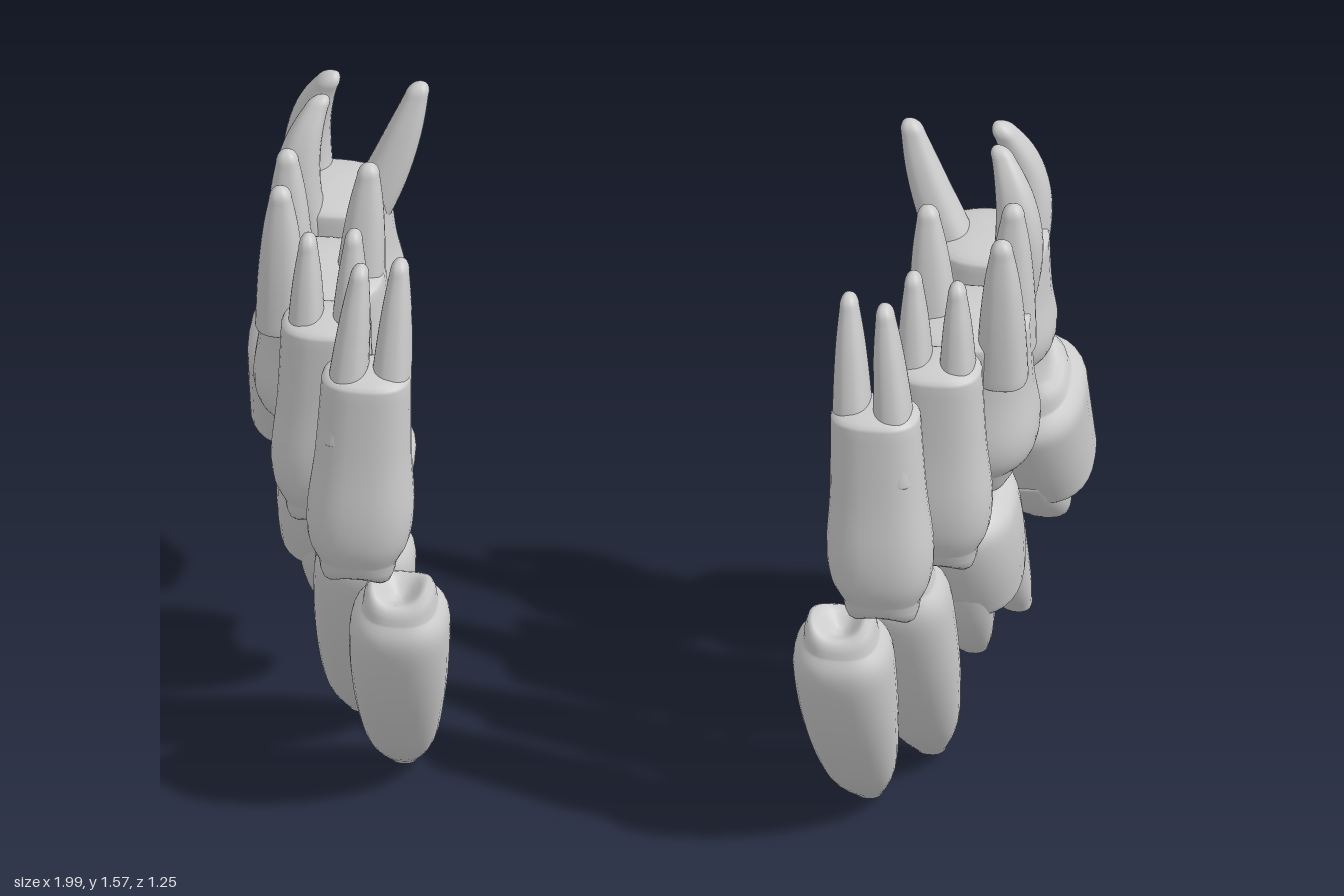
import * as THREE from 'three';

const enamel = new THREE.MeshStandardMaterial({ color: 0xcccccc });
enamel.name = 'light grey';

const SIDES = 32;
// width factors along each kind of part: [position, scale]
const UPPER = [[0, 0.73], [0.12, 0.94], [0.3, 1], [0.6, 0.9], [1, 0.84]];
const LOWER = [[0, 0.76], [0.15, 0.97], [0.35, 1], [0.7, 0.95], [1, 0.86]];
const LONG = [[0, 0.78], [0.07, 1], [0.2, 1.05], [0.5, 0.97], [0.8, 0.75], [1, 0.35]];
const ROOT = [[0, 1], [0.4, 0.9], [0.75, 0.7], [1, 0.45]];
// chewing surface: [radius, height]
const BITE = [[0.96, 0.42], [0.87, 0.8], [0.73, 1], [0.55, 0.82], [0.36, 0.5], [0.16, 0.25]];

const power = v => Math.sign(v) * Math.abs(v) ** 0.8;
const dome = Array.from({ length: 6 }, (_, i) => [Math.cos((i + 1) / 4), Math.sin((i + 1) / 4)]);

// Sweep rounded sections square to a bent axis; both ends are capped,
// and the first one gets cusps when asked for.
function sweep([from, via, to], rx, rz, profile, side, startHeight, endHeight, cusps) {
  const axis = new THREE.QuadraticBezierCurve3(
    ...[from, via, to].map(p => new THREE.Vector3(p[0] * side, p[1], p[2])));
  const widths = new THREE.SplineCurve(profile.map(p => new THREE.Vector2(...p)));
  const steps = (profile.length - 1) * 5;
  const pos = [], index = [];

  const ring = (i, r, lift) => {
    const { x: t, y: scale } = widths.getPoint(i / steps);
    const centre = axis.getPoint(t), along = axis.getTangent(t);
    const depth = new THREE.Vector3(0, along.y, -along.z).normalize();
    const v = new THREE.Vector3(0, depth.z, depth.y).multiplyScalar(Math.sign(along.y));
    for (let k = 0; k < SIDES; k++) {
      const a = k / SIDES * Math.PI * 2;
      const p = centre.clone()
        .addScaledVector(v, power(Math.sin(a)) * r * rz * scale)
        .addScaledVector(along, lift(a));
      p.x += power(Math.cos(a)) * r * rx * scale;
      pos.push(p.x, p.y, p.z);
    }
  };
  const bump = (a, r) => cusps ? 1 + 0.37 * r * (cusps === 2 ? Math.cos(2 * a) : -Math.cos(4 * a)) : 1;
  for (const [r, h] of [...(cusps ? BITE : dome)].reverse()) ring(0, r, a => -startHeight * h * bump(a, r));
  for (let i = 0; i <= steps; i++) ring(i, 1, () => 0);
  for (const [r, h] of dome) ring(steps, r, () => endHeight * h);

  const count = pos.length / 3 / SIDES;
  for (let j = 0; j < count - 1; j++) {
    for (let k = 0; k < SIDES; k++) {
      const a = j * SIDES + k, b = j * SIDES + (k + 1) % SIDES;
      index.push(a, b, a + SIDES, b, b + SIDES, a + SIDES);
    }
  }
  // close both poles
  for (const [start, flip] of [[0, true], [(count - 1) * SIDES, false]]) {
    const mid = [0, 0, 0], m = pos.length / 3;
    for (let k = 0; k < SIDES * 3; k++) mid[k % 3] += pos[start * 3 + k] / SIDES;
    pos.push(...mid);
    for (let k = 0; k < SIDES; k++) {
      const a = start + k, b = start + (k + 1) % SIDES;
      index.push(...(flip ? [b, a, m] : [a, b, m]));
    }
  }
  // upward sweeps run clockwise, so turn their faces outwards
  if (to[1] > from[1]) index.reverse();
  const geo = new THREE.BufferGeometry();
  geo.setAttribute('position', new THREE.Float32BufferAttribute(pos, 3));
  geo.setIndex(index);
  geo.computeVertexNormals();
  return new THREE.Mesh(geo, enamel);
}

// A path of two points runs straight
const bend = path => path.length === 3 ? path
  : [path[0], path[0].map((v, i) => (v + path[1][i]) / 2), path[1]];

function makeTooth(name, side, { profile, cusps, path, rx, rz, rootWidth, rootDepth, roots = [] }) {
  const tooth = new THREE.Group();
  tooth.name = name;
  const crown = sweep(bend(path), rx, rz, profile, side, 0.048, 0.03, cusps);
  crown.name = 'crown';
  tooth.add(crown);
  roots.forEach((rootPath, i) => {
    const root = sweep(bend(rootPath), rootWidth, rootDepth, ROOT, side, 0.02, 0.035, 0);
    root.name = 'root' + (i + 1);
    tooth.add(root);
  });
  return tooth;
}

const upperFirstPremolar = {
  profile: UPPER, cusps: 2, rx: 0.125, rz: 0.102, rootWidth: 0.05, rootDepth: 0.075,
  path: [[0.617, 0.76, 0.522], [0.6, 1.25, 0.508]],
  roots: [[[0.655, 1.1, 0.52], [0.62, 1.51, 0.487]], [[0.55, 1.1, 0.51], [0.53, 1.51, 0.45]]],
};
const upperSecondPremolar = {
  profile: UPPER, cusps: 2, rx: 0.125, rz: 0.1, rootWidth: 0.048, rootDepth: 0.07,
  path: [[0.725, 0.785, 0.318], [0.72, 1.27, 0.325]],
  roots: [[[0.77, 1.1, 0.325], [0.765, 1.47, 0.31]], [[0.67, 1.1, 0.32], [0.66, 1.48, 0.295]]],
};
const upperFirstMolar = {
  profile: UPPER, cusps: 4, rx: 0.172, rz: 0.155, rootWidth: 0.06, rootDepth: 0.062,
  path: [[0.75, 0.865, 0.05], [0.76, 1.25, 0.08]],
  roots: [
    [[0.85, 1.15, 0.15], [0.85, 1.5, 0.165]],
    [[0.85, 1.15, 0.01], [0.855, 1.5, 0.008]],
    [[0.68, 1.15, 0.07], [0.66, 1.5, 0.04]],
  ],
};
const upperSecondMolar = {
  profile: UPPER, cusps: 4, rx: 0.158, rz: 0.142, rootWidth: 0.062, rootDepth: 0.062,
  path: [[0.765, 0.97, -0.222], [0.777, 1.29, -0.208]],
  roots: [
    [[0.83, 1.2, -0.145], [0.88, 1.4, -0.1], [0.81, 1.55, -0.16]],
    [[0.83, 1.2, -0.27], [0.88, 1.4, -0.32], [0.8, 1.55, -0.27]],
    [[0.72, 1.2, -0.21], [0.64, 1.35, -0.22], [0.585, 1.55, -0.245]],
  ],
};
const lowerFirstPremolar = {
  profile: LONG, cusps: 2, rx: 0.112, rz: 0.11,
  path: [[0.52, 0.635, 0.515], [0.53, 0.36, 0.46], [0.547, 0.045, 0.24]],
};
const lowerSecondPremolar = {
  profile: LONG, cusps: 2, rx: 0.113, rz: 0.1,
  path: [[0.625, 0.68, 0.32], [0.65, 0.367, 0.244], [0.668, 0.055, 0.057]],
};
const lowerFirstMolar = {
  profile: LOWER, cusps: 4, rx: 0.158, rz: 0.17, rootWidth: 0.085, rootDepth: 0.07,
  path: [[0.7, 0.76, 0.042], [0.72, 0.66, 0.03], [0.74, 0.49, -0.04]],
  roots: [
    [[0.74, 0.55, 0.07], [0.74, 0.4, 0.05], [0.75, 0.262, -0.068]],
    [[0.78, 0.55, -0.12], [0.79, 0.42, -0.155], [0.83, 0.29, -0.215]],
  ],
};
const lowerSecondMolar = {
  profile: LOWER, cusps: 4, rx: 0.157, rz: 0.168, rootWidth: 0.083, rootDepth: 0.072,
  path: [[0.83, 0.875, -0.27], [0.825, 0.76, -0.31], [0.86, 0.59, -0.39]],
  roots: [
    [[0.84, 0.62, -0.28], [0.87, 0.5, -0.34], [0.89, 0.417, -0.445]],
    [[0.87, 0.65, -0.44], [0.91, 0.56, -0.51], [0.92, 0.5, -0.592]],
  ],
};
const teeth = {
  upperFirstPremolar, upperSecondPremolar, upperFirstMolar, upperSecondMolar,
  lowerFirstPremolar, lowerSecondPremolar, lowerFirstMolar, lowerSecondMolar,
};

export function createModel() {
  const model = new THREE.Group();
  model.name = 'backTeeth';
  for (const [label, side] of [['left', 1], ['right', -1]]) {
    const row = new THREE.Group();
    row.name = label + 'Row';
    for (const [name, spec] of Object.entries(teeth)) row.add(makeTooth(name, side, spec));
    model.add(row);
  }
  return model;
}
